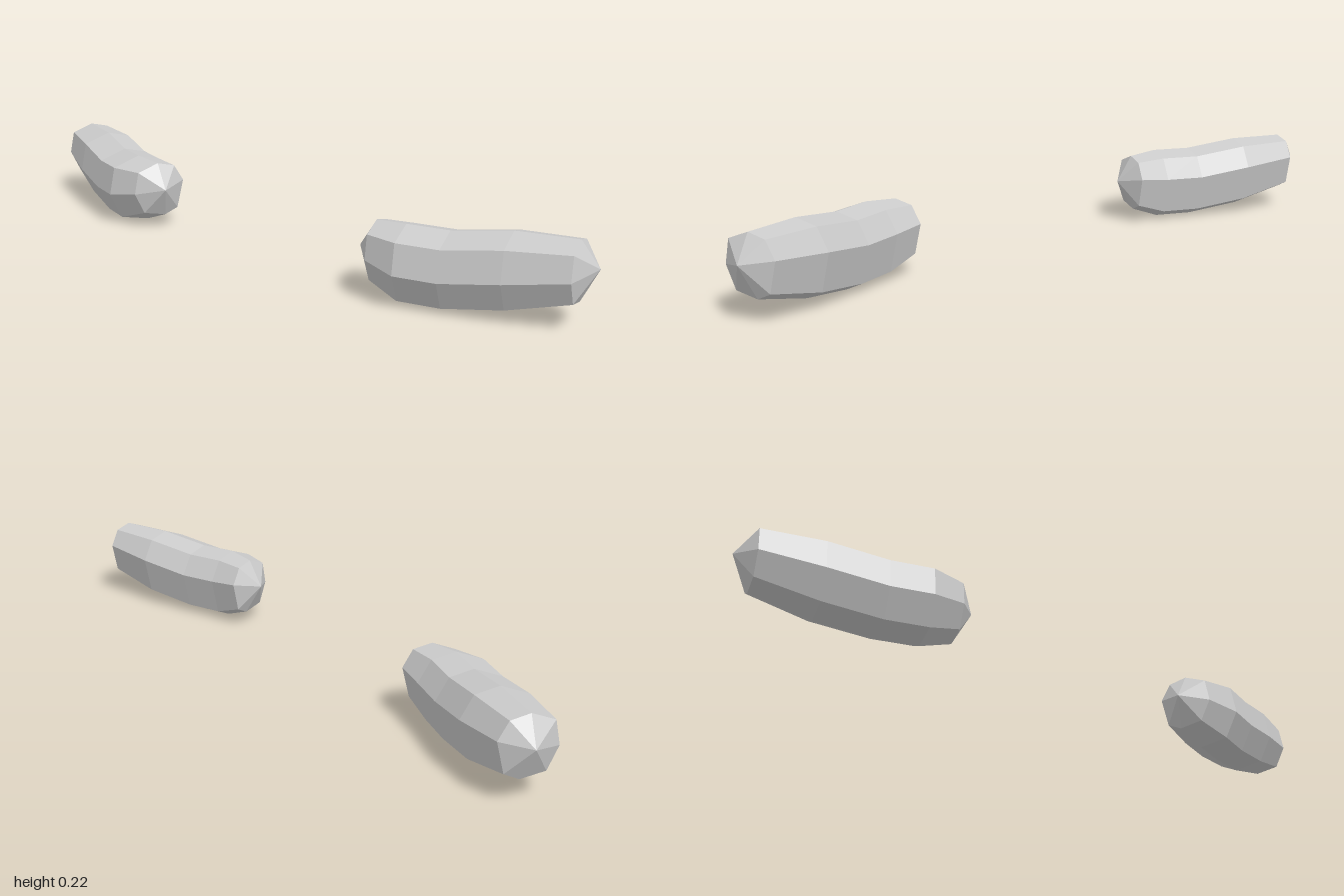
import * as THREE from 'three';

// Eight-sided cross-section as [y, z] offsets, counter-clockwise seen from the outer end
const SECTION = [
  [0.1, 0.005], [0.07, 0.08], [-0.012, 0.095], [-0.088, 0.06],
  [-0.103, -0.02], [-0.08, -0.068], [0.025, -0.092], [0.085, -0.058],
];

// Rings along the bent spine, inner to outer: [x, y, z, scale]
const RINGS = [
  [0.437, 0.12, 0.066, 0.8],
  [0.533, 0.107, 0.062, 1],
  [0.645, 0.105, 0.025, 1],
  [0.797, 0.125, -0.03, 1],
  [0.955, 0.145, -0.08, 0.8],
];
const INNER_TIP = [0.392, 0.125, 0.08];
const OUTER_TIP = [1.0, 0.155, -0.098];
const YAW = 0.33; // rings stand square to the slanted spine

function podGeometry(side) {
  const n = SECTION.length;
  const positions = [];
  const index = [];
  const point = (x, y, z) => positions.push(side * x, y, z);
  // Mirrored pods need the opposite corner order
  const tri = (a, b, c) => (side > 0 ? index.push(a, b, c) : index.push(a, c, b));

  for (const [x, y, z, s] of RINGS) {
    for (const [dy, dz] of SECTION) point(x + YAW * dz * s, y + dy * s, z + dz * s);
  }
  const inner = RINGS.length * n;
  const outer = inner + 1;
  point(...INNER_TIP);
  point(...OUTER_TIP);

  const last = (RINGS.length - 1) * n;
  for (let j = 0; j < n; j++) {
    const k = (j + 1) % n;
    for (let base = 0; base < last; base += n) {
      tri(base + j, base + k, base + n + k);
      tri(base + j, base + n + k, base + n + j);
    }
    // Shallow faceted end caps
    tri(inner, k, j);
    tri(outer, last + j, last + k);
  }

  const indexed = new THREE.BufferGeometry();
  indexed.setAttribute('position', new THREE.Float32BufferAttribute(positions, 3));
  indexed.setIndex(index);
  const geometry = indexed.toNonIndexed();
  geometry.computeVertexNormals();
  return geometry;
}

export function createModel() {
  const model = new THREE.Group();
  model.name = 'podPair';
  const material = new THREE.MeshStandardMaterial({ color: 0xcccccc, flatShading: true });
  for (const [name, side] of [['leftPod', 1], ['rightPod', -1]]) {
    const pod = new THREE.Mesh(podGeometry(side), material);
    pod.name = name;
    model.add(pod);
  }
  return model;
}
